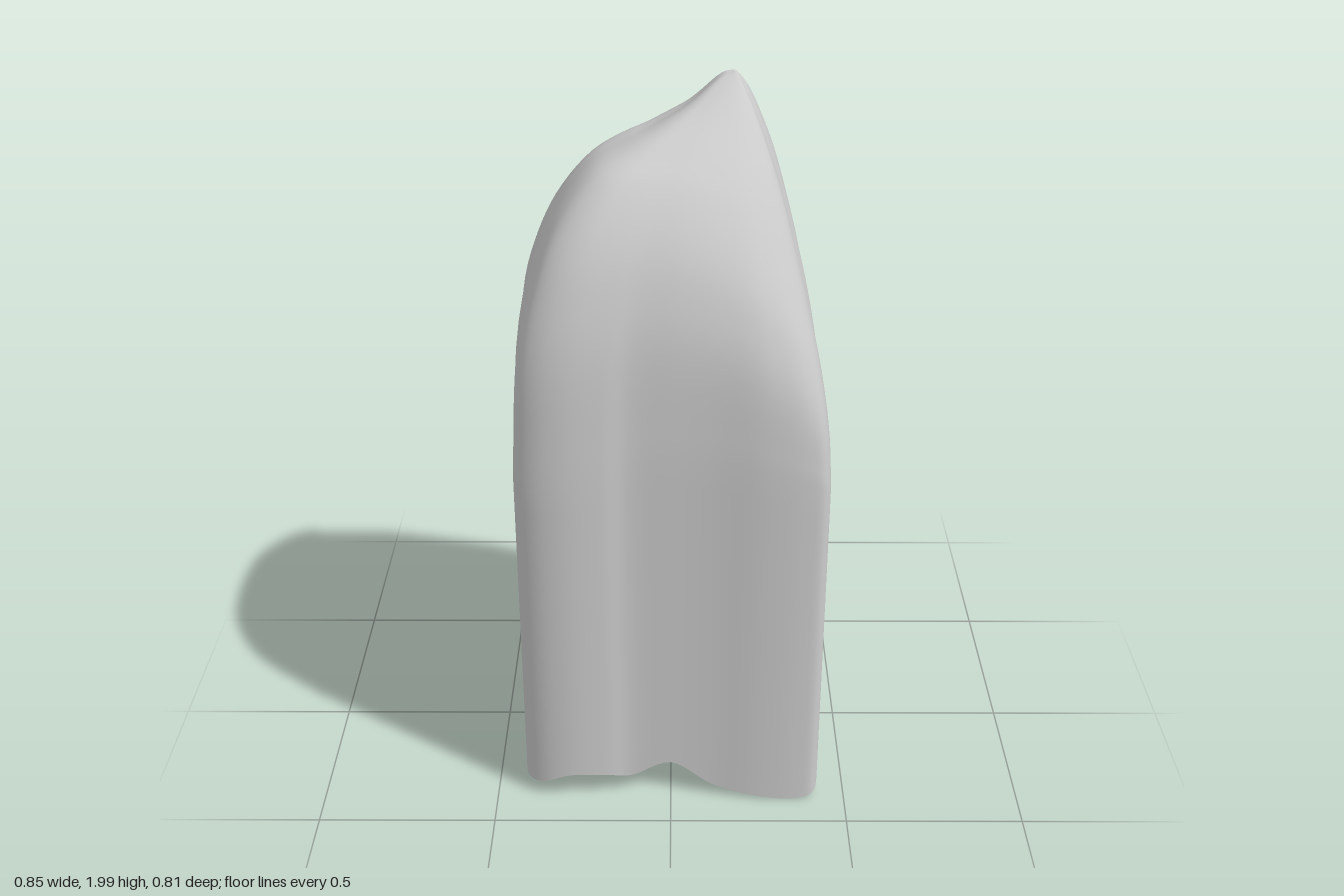
import * as THREE from 'three';
import { mergeVertices } from 'three/addons/utils/BufferGeometryUtils.js';

const V = (x, y, z) => new THREE.Vector3(x, y, z);

// Folded outline of the cloth: [x, hem height, z], starting at the front corner on -x
const OUTLINE = [
  [-.412, .05, .35], [-.37, .055, .385], [-.29, .09, .403], [-.185, .085, .394], [-.115, .07, .376],
  [0, .118, .377], [.12, .045, .385], [.25, .016, .402], [.36, .008, .402], [.41, .02, .39],
  [.425, .045, .34], [.42, .048, .28], [.395, .042, .21], [.385, .05, .17], [.405, .06, .12],
  [.418, .08, .06], [.405, .1, 0], [.375, .09, -.04], [.358, .07, -.07], [.38, .055, -.11],
  [.405, .04, -.16], [.405, .03, -.21], [.385, .02, -.29], [.36, .02, -.37], [.33, .025, -.39],
  [.22, .025, -.39], [.1, .025, -.365], [0, .035, -.337], [-.1, .04, -.355], [-.2, .032, -.39],
  [-.3, .035, -.405], [-.36, .035, -.405], [-.385, .035, -.37], [-.4, .035, -.29], [-.42, .04, -.2],
  [-.428, .06, -.12], [-.42, .09, -.05], [-.405, .1, 0], [-.42, .08, .05], [-.425, .05, .15], [-.422, .048, .25],
];

// Heights from the peak (T = 0) out to the wall (T = 1), keyed by outline position
const T = [0, .06, .2, .35, .5, .65, .8, .9, .97, 1];
const PROFILES = [
  [.5, [2, 1.989, 1.94, 1.9, 1.86, 1.81, 1.69, 1.54, 1.33, 1]],
  [6, [2, 1.994, 1.955, 1.905, 1.85, 1.78, 1.68, 1.57, 1.42, 1.15]],
  [9, [2, 1.994, 1.93, 1.84, 1.73, 1.59, 1.43, 1.3, 1.15, 1]],
  [19, [2, 1.997, 1.96, 1.89, 1.8, 1.68, 1.53, 1.38, 1.23, 1.1]],
  [23.5, [2, 1.996, 1.94, 1.85, 1.75, 1.62, 1.47, 1.34, 1.2, 1]],
  [25.5, [2, 1.996, 1.945, 1.88, 1.79, 1.68, 1.52, 1.41, 1.27, 1.1]],
  [27.2, [2, 1.993, 1.92, 1.85, 1.76, 1.66, 1.54, 1.43, 1.31, 1.15]],
  [31, [2, 1.989, 1.915, 1.855, 1.78, 1.67, 1.53, 1.42, 1.27, 1.1]],
  [36, [2, 1.988, 1.915, 1.87, 1.85, 1.805, 1.71, 1.59, 1.44, 1.2]],
];

const APEX = V(.16, 2, -.13);
const AROUND = 246, DOME = 40, WALL = 12;

// Averages each point of a closed ring with its neighbours
const blur = (ring, reach) => ring.map((_, i) => {
  const sum = V(0, 0, 0);
  for (let k = -reach; k <= reach; k++) sum.add(ring[(i + k + ring.length) % ring.length]);
  return sum.divideScalar(2 * reach + 1);
});

function drapedCloth() {
  const n = OUTLINE.length;
  const rim = new THREE.CatmullRomCurve3(OUTLINE.map(p => V(...p)), true);
  const edge = Array.from({ length: AROUND }, (_, i) => rim.getPoint(i / AROUND));
  const softEdge = blur(edge, 12); // the folds fade out towards the peak

  const curves = PROFILES.map(([, heights]) =>
    new THREE.CatmullRomCurve3(heights.map((y, k) => V(T[k], y, 0)), false, 'catmullrom', .5));

  // Blend of the two profiles on either side of an outline position
  const profileAt = (i, j) => {
    const s = i / AROUND * n;
    const next = PROFILES.findIndex(([key]) => key > s);
    const b = Math.max(next, 0);
    const a = (b + PROFILES.length - 1) % PROFILES.length;
    const span = (PROFILES[b][0] - PROFILES[a][0] + n) % n;
    const f = ((s - PROFILES[a][0] + n) % n) / span;
    return curves[a].getPoint(j / DOME).lerp(curves[b].getPoint(j / DOME), f);
  };

  const positions = [], index = [];
  let shoulder;
  // Dome, from the peak out to the shoulder
  for (let j = 0; j <= DOME; j++) {
    shoulder = blur(edge.map((_, i) => profileAt(i, j)), 11);
    shoulder.forEach(({ x: t, y }, i) => {
      const target = softEdge[i].clone().lerp(edge[i], Math.pow(Math.min(t, 1), 5));
      const p = APEX.clone().lerp(target, t);
      positions.push(p.x, y, p.z);
    });
  }
  // Hanging walls, from the shoulder down to the wavy hem
  for (let j = 1; j <= WALL; j++) {
    edge.forEach((e, i) =>
      positions.push(e.x, THREE.MathUtils.lerp(shoulder[i].y, e.y, j / WALL), e.z));
  }
  for (let j = 0; j < DOME + WALL; j++) {
    for (let i = 0; i < AROUND; i++) {
      const a = j * AROUND + i, b = j * AROUND + (i + 1) % AROUND;
      const c = a + AROUND, d = b + AROUND;
      if (j > 0) index.push(a, c, b);
      index.push(b, c, d);
    }
  }
  let geometry = new THREE.BufferGeometry();
  geometry.setAttribute('position', new THREE.Float32BufferAttribute(positions, 3));
  geometry.setIndex(index);
  geometry = mergeVertices(geometry, 1e-5); // joins the ring at the peak into one point
  geometry.computeVertexNormals();
  return geometry;
}

export function createModel() {
  const group = new THREE.Group();
  group.name = 'drapedCloth';
  // Open, thin sheet hanging from a single peak
  const cloth = new THREE.Mesh(drapedCloth(),
    new THREE.MeshStandardMaterial({ color: 0xcccccc, side: THREE.DoubleSide }));
  cloth.name = 'clothSheet';
  group.add(cloth);
  return group;
}
